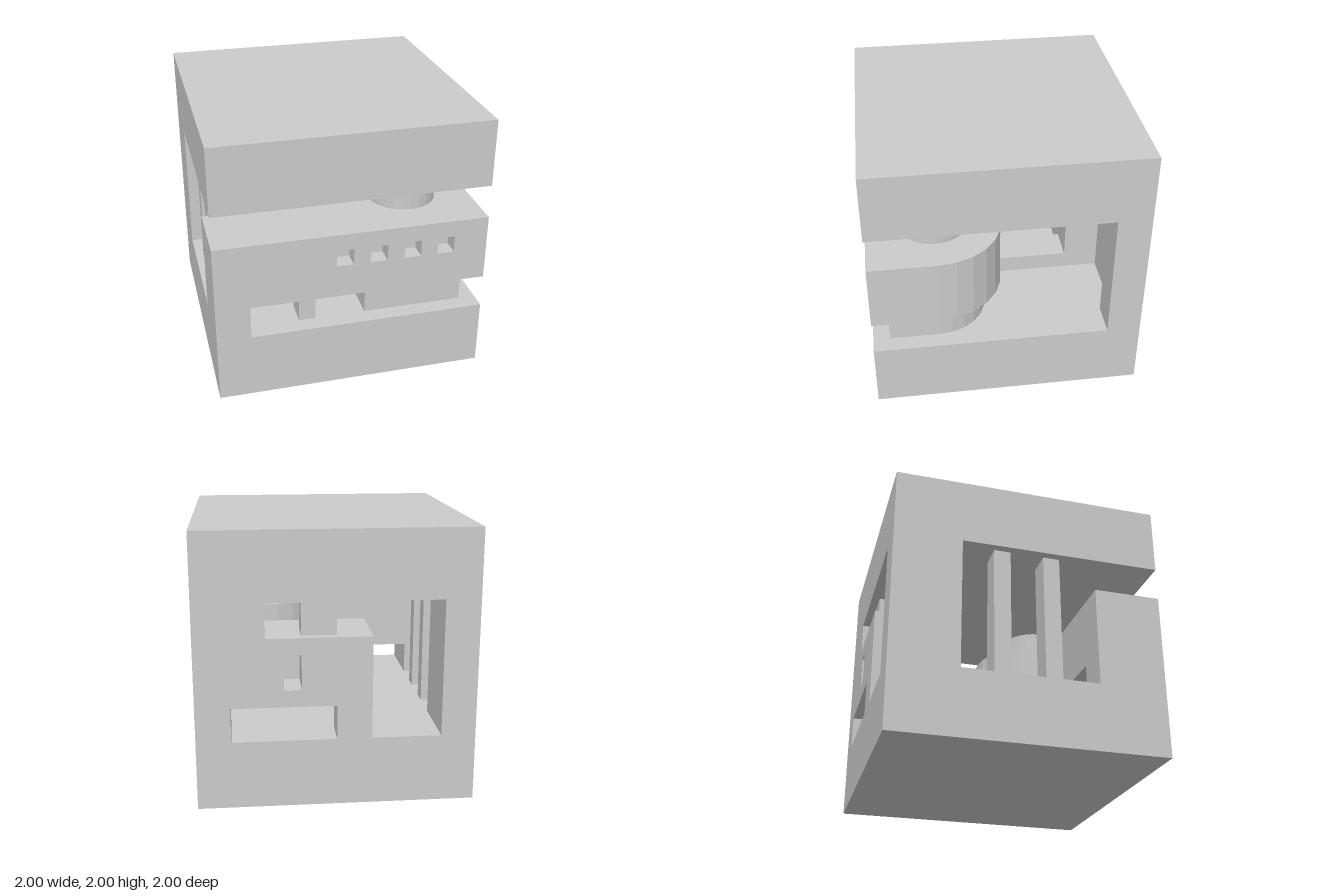
import * as THREE from 'three';

const material = new THREE.MeshStandardMaterial({ color: 0xcccccc, flatShading: true });

export function createModel() {
  const model = new THREE.Group();

  const add = (name, geometry) => {
    const mesh = new THREE.Mesh(geometry, material);
    mesh.name = name;
    model.add(mesh);
    return mesh;
  };

  // Box given by its lower and upper limits on each axis
  const box = (name, [x0, x1], [y0, y1], [z0, z1]) =>
    add(name, new THREE.BoxGeometry(x1 - x0, y1 - y0, z1 - z0))
      .position.set((x0 + x1) / 2, (y0 + y1) / 2, (z0 + z1) / 2);

  const outline = (points, Type = THREE.Shape) =>
    new Type(points.map(([x, y]) => new THREE.Vector2(x, y)));

  const rect = (x0, x1, y0, y1) => [[x0, y0], [x1, y0], [x1, y1], [x0, y1]];

  // Upright panel with holes, extruded along z
  const panel = (name, edge, holes, z, depth) => {
    const shape = outline(edge);
    shape.holes = holes.map((hole) => outline(hole, THREE.Path));
    add(name, new THREE.ExtrudeGeometry(shape, { depth, bevelEnabled: false })).position.z = z;
  };

  // Footprint with a faceted round back about (0.5, 0.5) and a square front
  const roundBacked = (name, radius, left, front, y, height) => {
    const right = 0.5 + radius;
    const points = [[left, -front], [right, -front]];
    for (let i = 0; i <= 12; i++) {
      const a = (i / 12) * Math.PI;
      points.push([0.5 + radius * Math.cos(a), -0.5 + radius * Math.sin(a)]);
    }
    if (left < 0.5 - radius) points.push([left, -0.5]);
    const geometry = new THREE.ExtrudeGeometry(outline(points), { depth: height, bevelEnabled: false });
    add(name, geometry.rotateX(-Math.PI / 2)).position.y = y;
  };

  // Base and roof slabs
  box('baseSlab', [-1, 1], [0, 0.5], [-0.75, 1]);
  box('roofSlab', [-1, 1], [1.5, 2], [-0.75, 1]);

  // Back wall with its stepped opening, small window and low slot
  panel('backWall', rect(-1, 1, 0, 2), [
    [[-0.75, 0.5], [-0.25, 0.5], [-0.25, 1.25], [0.5, 1.25], [0.5, 1.5], [-0.75, 1.5]],
    rect(0.25, 0.375, 0.875, 1.125),
    rect(0, 0.75, 0.5, 0.75),
  ], -1, 0.25);
  box('backPost', [0, 0.25], [1.25, 1.5], [-0.9375, -0.75]);

  // Ledge inside the back wall and the shelf joining it to the front block
  box('backLedge', [-0.25, 0.5], [0.75, 1.25], [-0.75, -0.5]);
  box('shelf', [0.25, 0.5], [0.75, 0.875], [-0.5, 0.07]);

  // Side wall, front pier and the two window bars between them
  box('sideWall', [-1, -0.75], [0.5, 1.5], [-0.75, -0.5]);
  box('frontPier', [-1, -0.75], [0.5, 0.75], [0.5, 1]);
  for (const z of [-0.25, 0.125]) {
    box('windowBar', [-0.9375, -0.75], [0.5, 1.5], [z, z + 0.125]);
  }
  box('frontPost', [-0.375, -0.25], [0.5, 0.75], [0.6875, 0.875]);

  // Front block: rounded body behind a panel with four square pockets
  roundBacked('frontBlock', 0.5, -1, 0.875, 0.75, 0.5);
  const pockets = [-0.125, 0.125, 0.375, 0.625].map((x) => rect(x, x + 0.125, 1, 1.125));
  panel('pocketPanel', rect(-1, 1, 0.75, 1.25), pockets, 0.875, 0.125);

  // Plinth below the block and round column above it
  roundBacked('plinth', 0.375, 0.125, 0.875, 0.5, 0.25);
  add('column', new THREE.CylinderGeometry(0.25, 0.25, 0.25, 24)).position.set(0.5, 1.375, 0.5);

  return model;
}
